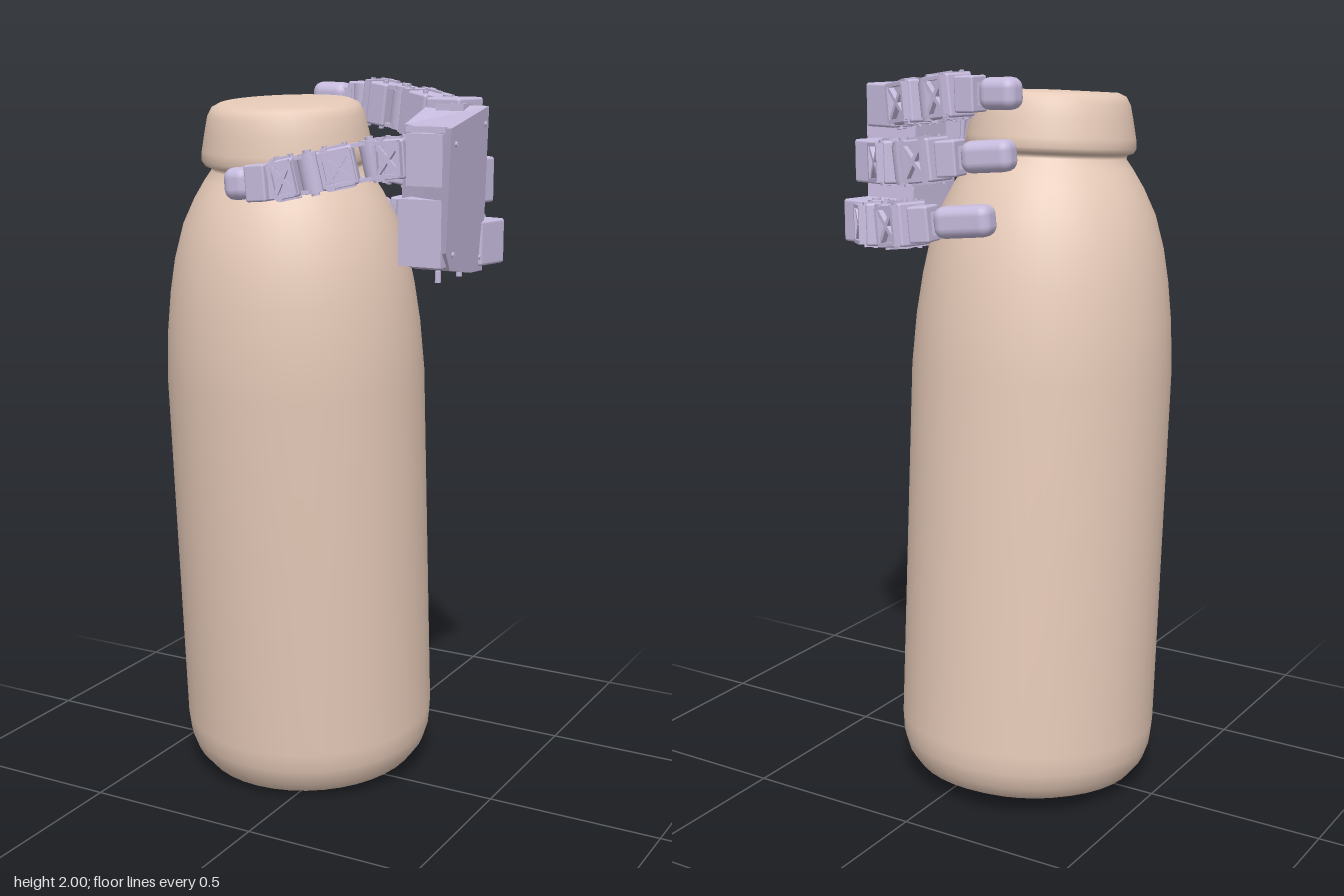
import * as THREE from 'three';
import { RoundedBoxGeometry } from 'three/addons/geometries/RoundedBoxGeometry.js';

const bottleMat = new THREE.MeshStandardMaterial({ color: 0xe6cab8 });
const handMat = new THREE.MeshStandardMaterial({ color: 0xc6bbdd });
const V = (x, y, z) => new THREE.Vector3(x, y, z);

function add(parent, name, geo, x = 0, y = 0, z = 0, mat = handMat) {
  const m = new THREE.Mesh(geo, mat);
  m.name = name;
  m.position.set(x, y, z);
  parent.add(m);
  return m;
}
const box = (w, h, d) => new THREE.BoxGeometry(w, h, d);
const rbox = (w, h, d, r) => new RoundedBoxGeometry(w, h, d, 3, r);
const cyl = (r, h, n = 16) => new THREE.CylinderGeometry(r, r, h, n);

// Leaning bottle with a flared cap
function createBottle() {
  const profile = [
    [0, 0], [0.22, 0], [0.275, 0.006], [0.315, 0.025], [0.342, 0.06], [0.357, 0.105], [0.362, 0.16],
    [0.362, 0.7], [0.362, 1.18], [0.353, 1.32], [0.339, 1.43], [0.322, 1.52], [0.295, 1.61],
    [0.26, 1.68], [0.228, 1.73], [0.208, 1.757], [0.21, 1.767], [0.226, 1.772], [0.234, 1.785],
    [0.232, 1.81], [0.222, 1.86], [0.213, 1.9], [0.2, 1.923], [0.178, 1.933], [0, 1.936],
  ].map(([r, y]) => new THREE.Vector2(r, y));
  const g = new THREE.Group();
  g.name = 'bottle';
  add(g, 'bottleBody', new THREE.LatheGeometry(profile, 40), 0, 0, 0, bottleMat);
  g.position.set(-0.107, 0.022, -0.038);
  g.rotation.x = 0.068;
  return g;
}

// Palm housing: side outline given depth, then slanted and tapered towards the inside
function createPalm() {
  const g = new THREE.Group();
  g.name = 'palm';
  const outline = [[0.28, 1.9], [0.01, 1.945], [-0.045, 1.51], [0.05, 1.515], [0.21, 1.54], [0.25, 1.59]];
  const shape = new THREE.Shape(outline.map(([z, y]) => new THREE.Vector2(-z, y)));
  const geo = new THREE.ExtrudeGeometry(shape, { depth: 1, bevelEnabled: false });
  geo.rotateY(Math.PI / 2);
  const p = geo.attributes.position;
  for (let i = 0; i < p.count; i++) {
    const t = p.getX(i), y = p.getY(i), z = p.getZ(i);
    const outer = 0.438 + 0.08 * z + (y - 1.72) * 0.07;
    p.setXYZ(i, t > 0.5 ? outer : 0.275 + (y - 1.72) * 0.03, y, t > 0.5 ? z : Math.min(z, 0.15));
  }
  geo.computeVertexNormals();
  add(g, 'palmHousing', geo);
  // Front lower housing below the thumb
  add(g, 'palmFront', box(0.12, 0.17, 0.12), 0.375, 1.635, 0.19);
  add(g, 'thumbMount', box(0.1, 0.13, 0.09), 0.395, 1.82, 0.225);
  add(g, 'thumbMountCap', box(0.11, 0.015, 0.1), 0.395, 1.895, 0.215);
  // Screws on the outer plate
  for (const [z, y] of [[0.24, 1.86], [0.03, 1.9], [0.2, 1.58], [-0.01, 1.55]]) {
    const s = add(g, 'palmScrew', cyl(0.007, 0.012, 10), 0.438 + 0.08 * z + (y - 1.72) * 0.07, y, z);
    s.rotation.z = Math.PI / 2;
  }
  for (const z of [0.06, 0.19]) add(g, 'palmPeg', cyl(0.008, 0.03, 10), 0.4, 1.52, z);
  return g;
}

// Group at a, its x axis running towards b
function frame(a, b, name) {
  const g = new THREE.Group();
  g.name = name;
  const x = b.clone().sub(a).normalize();
  const z = x.clone().cross(V(0, 1, 0)).normalize();
  g.quaternion.setFromRotationMatrix(new THREE.Matrix4().makeBasis(x, z.clone().cross(x), z));
  g.position.copy(a);
  return g;
}

// One motor link: casing, fork around the joint, crossed back panel and screws
function createLink(a, b, w, side) {
  const L = a.distanceTo(b), g = frame(a, b, 'fingerLink'), t = w * 0.8;
  add(g, 'motorCasing', rbox(L * 0.58, w, t, 0.007), L * 0.56, 0, side * 0.008);
  add(g, 'casingBand', box(L * 0.12, w * 1.06, t * 1.08), L * 0.72, 0, side * 0.008);
  add(g, 'jointBarrel', cyl(w * 0.3, w * 0.8), 0, 0, 0);
  for (const s of [-1, 1]) {
    add(g, 'forkPlate', box(L * 0.38, 0.01, t * 0.62), L * 0.16, s * w * 0.45, 0);
    add(g, 'forkEnd', cyl(t * 0.34, 0.013), 0, s * w * 0.45, 0);
    add(g, 'jointBolt', cyl(t * 0.14, 0.012, 10), 0, s * (w * 0.45 + 0.008), 0);
    add(g, 'linkRail', box(L * 0.42, 0.012, 0.012), L * 0.56, s * w * 0.5, side * t * 0.3);
    for (const k of [0.4, 0.72]) add(g, 'screw', cyl(0.007, 0.01, 8), L * k, s * (w * 0.5 + 0.003), -side * t * 0.2);
  }
  // Raised back frame with a diagonal cross
  const zb = side * (t / 2 + 0.016), fw = L * 0.46;
  for (const s of [-1, 1]) {
    add(g, 'panelEdge', box(fw, 0.01, 0.024), L * 0.56, s * w * 0.42, zb);
    add(g, 'panelEnd', box(0.01, w * 0.84, 0.024), L * 0.56 + s * fw / 2, 0, zb);
    add(g, 'panelCross', box(Math.hypot(fw, w * 0.8) * 0.9, 0.011, 0.016), L * 0.56, 0, zb)
      .rotation.z = s * Math.atan2(w * 0.8, fw);
  }
  return g;
}

// Rounded fingertip with a narrow neck and a bracket behind it
function createTip(a, b, side) {
  const L = a.distanceTo(b), g = frame(a, b, 'fingertip');
  add(g, 'tipJoint', cyl(0.032, 0.085), 0, 0, 0);
  add(g, 'tipBracket', rbox(0.06, 0.095, 0.07, 0.006), 0.012, 0, side * 0.012);
  add(g, 'tipNeck', box(0.03, 0.06, 0.05), 0.045, 0, 0);
  add(g, 'tipPad', rbox(L - 0.045, 0.084, 0.076, 0.028), (L + 0.045) / 2, 0, 0);
  return g;
}

function createFinger(name, points, side, w) {
  const g = new THREE.Group(), p = points.map((q) => V(...q)), n = p.length;
  g.name = name;
  for (let i = 0; i < n - 2; i++) g.add(createLink(p[i], p[i + 1], w, side));
  g.add(createTip(p[n - 2], p[n - 1], side));
  return g;
}

export function createModel() {
  const model = new THREE.Group();
  model.name = 'handHoldingBottle';
  model.add(createBottle());
  const hand = new THREE.Group();
  hand.name = 'hand';
  model.add(hand);
  hand.add(createPalm());

  const fingers = [
    ['upperFinger', [[0.31, 1.905, -0.035], [0.15, 1.93, -0.11], [0.01, 1.95, -0.145], [-0.145, 1.955, -0.15]]],
    ['middleFinger', [[0.335, 1.75, -0.06], [0.19, 1.765, -0.18], [0.04, 1.785, -0.2], [-0.15, 1.8, -0.18]]],
    ['lowerFinger', [[0.355, 1.585, -0.09], [0.215, 1.6, -0.235], [0.07, 1.62, -0.285], [-0.138, 1.64, -0.265]]],
  ];
  for (const [name, pts] of fingers) {
    hand.add(createFinger(name, pts, 1, 0.115));
    // Knuckle block joining the finger to the palm
    const [x, y, z] = pts[0];
    add(hand, 'knuckle', rbox(0.11, 0.12, 0.11, 0.008), x + 0.035, y, z + 0.02).rotation.y = -0.2;
    add(hand, 'knuckleStem', box(0.08, 0.09, 0.1), 0.36, y, 0.0);
  }
  hand.add(createFinger('thumb',
    [[0.37, 1.825, 0.22], [0.235, 1.815, 0.235], [0.09, 1.78, 0.3], [-0.02, 1.755, 0.335], [-0.14, 1.745, 0.335]], -1, 0.1));
  return model;
}
